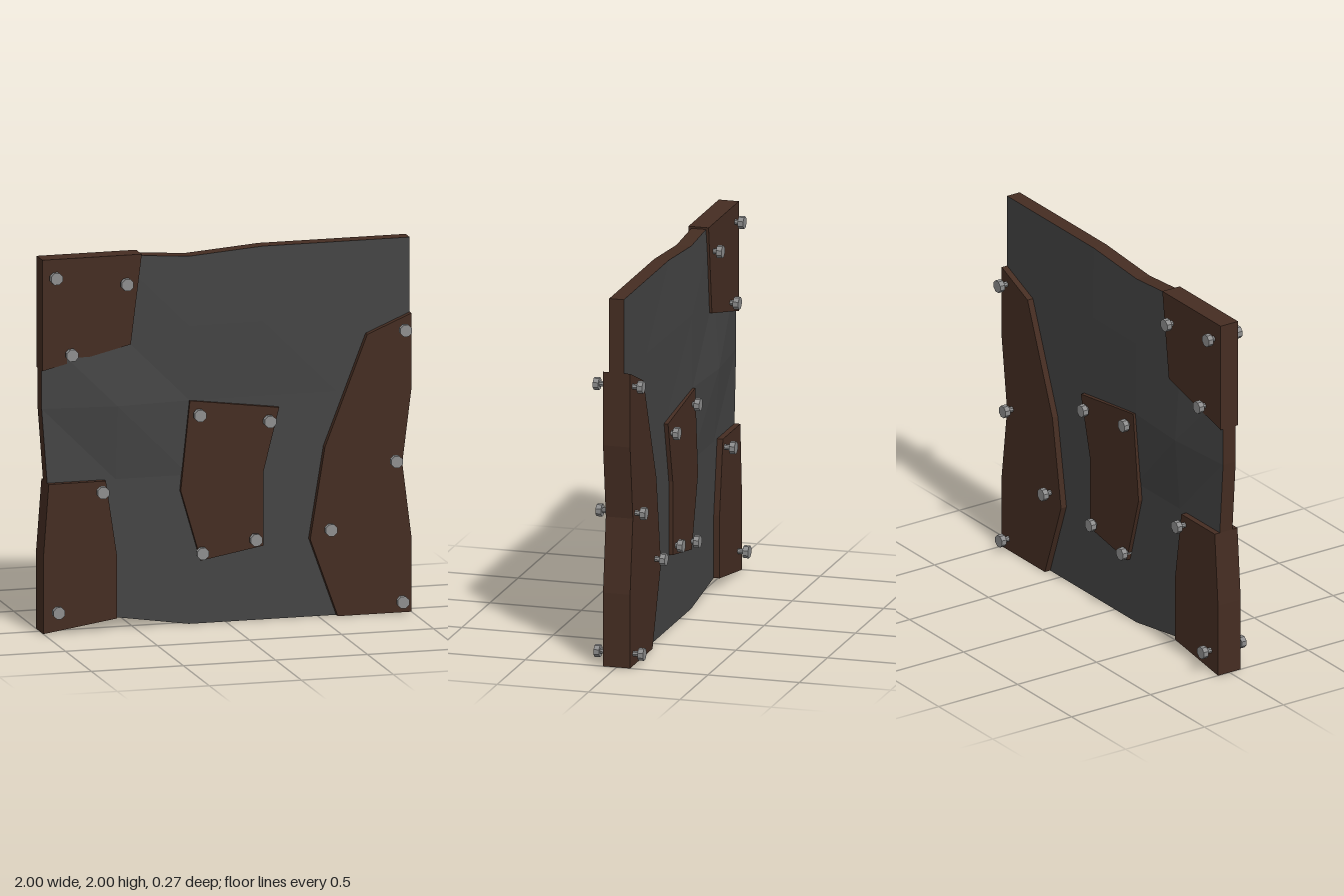
import * as THREE from 'three';

const wood = new THREE.MeshStandardMaterial({ name: 'brownWood', color: 0x452d22, flatShading: true });
const stone = new THREE.MeshStandardMaterial({ name: 'darkGrey', color: 0x444444, flatShading: true });
const steel = new THREE.MeshStandardMaterial({ name: 'boltGrey', color: 0x8e8e8e, flatShading: true });

// Outline dents and surface bumps of the panel, keyed by grid column,row
const N = 5, HALF = 0.04;
const dents = { '2,5': [0, -0.03], '1,0': [0, 0.06], '0,2': [0.03, 0], '5,2': [-0.05, 0] };
const bumps = { '1,3': [0.045, 0.03], '2,4': [0.012, 0.008], '3,4': [0.004, 0.004], '2,3': [0.008, 0.008] };

function gridPoint(i, j, side) {
  const [dx, dy] = dents[`${i},${j}`] ?? [0, 0];
  const [front, back] = bumps[`${i},${j}`] ?? [0, 0];
  const z = side > 0 ? HALF + front : -HALF - back;
  return [-1 + 0.4 * i + dx, 0.4 * j + dy, z];
}

// Dented panel: grey faces and brown rim
function makePanel() {
  const pos = [];
  const quad = (a, b, c, d) => pos.push(...a, ...b, ...d, ...b, ...c, ...d);
  for (const s of [1, -1]) {
    for (let i = 0; i < N; i++) {
      for (let j = 0; j < N; j++) {
        const a = gridPoint(i, j, s), b = gridPoint(i + 1, j, s);
        const c = gridPoint(i + 1, j + 1, s), d = gridPoint(i, j + 1, s);
        if (s > 0) quad(a, b, c, d);
        else pos.push(...a, ...d, ...b, ...b, ...d, ...c);
      }
    }
  }
  const faceCount = pos.length / 3;
  // Rim, walked counter-clockwise seen from the front
  const rim = [];
  for (let k = 0; k < N; k++) rim.push([k, 0]);
  for (let k = 0; k < N; k++) rim.push([N, k]);
  for (let k = N; k > 0; k--) rim.push([k, N]);
  for (let k = N; k > 0; k--) rim.push([0, k]);
  rim.forEach((p, k) => {
    const q = rim[(k + 1) % rim.length];
    quad(gridPoint(...p, -1), gridPoint(...q, -1), gridPoint(...q, 1), gridPoint(...p, 1));
  });
  const geo = new THREE.BufferGeometry();
  geo.setAttribute('position', new THREE.Float32BufferAttribute(pos, 3));
  geo.addGroup(0, faceCount, 0);
  geo.addGroup(faceCount, pos.length / 3 - faceCount, 1);
  geo.computeVertexNormals();
  const mesh = new THREE.Mesh(geo, [stone, wood]);
  mesh.name = 'panel';
  return mesh;
}

// Bolts: octagonal head on a thin shank
const headGeo = new THREE.CylinderGeometry(0.034, 0.034, 0.03, 8).rotateY(Math.PI / 8).rotateX(Math.PI / 2);
const shankGeo = new THREE.CylinderGeometry(0.015, 0.015, 0.06, 8).rotateX(Math.PI / 2);

function makeBolt(x, y, tip, side) {
  const bolt = new THREE.Group();
  bolt.name = 'bolt';
  const head = new THREE.Mesh(headGeo, steel);
  head.name = 'boltHead';
  head.position.z = side * (tip - 0.015);
  const shank = new THREE.Mesh(shankGeo, steel);
  shank.name = 'boltShank';
  shank.position.z = side * (tip - 0.055);
  bolt.add(head, shank);
  bolt.position.set(x, y, 0);
  return bolt;
}

// Wooden patches go right through the panel and are bolted on both sides
const patches = [
  {
    name: 'upperRightPatch', half: 0.055, tip: 0.107,
    outline: [[-1, 1.405], [-0.52, 1.52], [-0.46, 2], [-1, 2]],
    bolts: [[-0.935, 1.905], [-0.55, 1.85], [-0.85, 1.49]],
  },
  {
    name: 'lowerRightPatch', half: 0.072, tip: 0.135,
    outline: [[-1, 0], [-0.6, 0.06], [-0.6, 0.4], [-0.66, 0.8], [-0.97, 0.8], [-1, 0.4]],
    bolts: [[-0.69, 0.75], [-0.93, 0.12]],
  },
  {
    name: 'middlePatch', half: 0.062, tip: 0.107,
    outline: [[-0.14, 0.34], [0.2, 0.4], [0.2, 0.8], [0.285, 1.135], [-0.2, 1.2], [-0.25, 0.72]],
    bolts: [[-0.155, 1.125], [0.225, 1.07], [0.15, 0.44], [-0.14, 0.385]],
  },
  {
    name: 'leftPatch', half: 0.074, tip: 0.135,
    outline: [[0.6, 0], [1, 0], [1, 0.4], [0.95, 0.8], [1, 1.2], [1, 1.6], [0.76, 1.5], [0.53, 0.91], [0.45, 0.42]],
    bolts: [[0.955, 1.52], [0.905, 0.82], [0.55, 0.475], [0.94, 0.065]],
  },
];

function makePatch({ name, half, tip, outline, bolts }) {
  const group = new THREE.Group();
  group.name = name;
  const shape = new THREE.Shape(outline.map(([x, y]) => new THREE.Vector2(x, y)));
  const geo = new THREE.ExtrudeGeometry(shape, { depth: 2 * half, bevelEnabled: false });
  geo.translate(0, 0, -half);
  const board = new THREE.Mesh(geo, wood);
  board.name = 'board';
  group.add(board);
  for (const [x, y] of bolts) {
    for (const side of [1, -1]) group.add(makeBolt(x, y, tip, side));
  }
  return group;
}

export function createModel() {
  const model = new THREE.Group();
  model.name = 'patchedPanel';
  model.add(makePanel(), ...patches.map(makePatch));
  return model;
}
